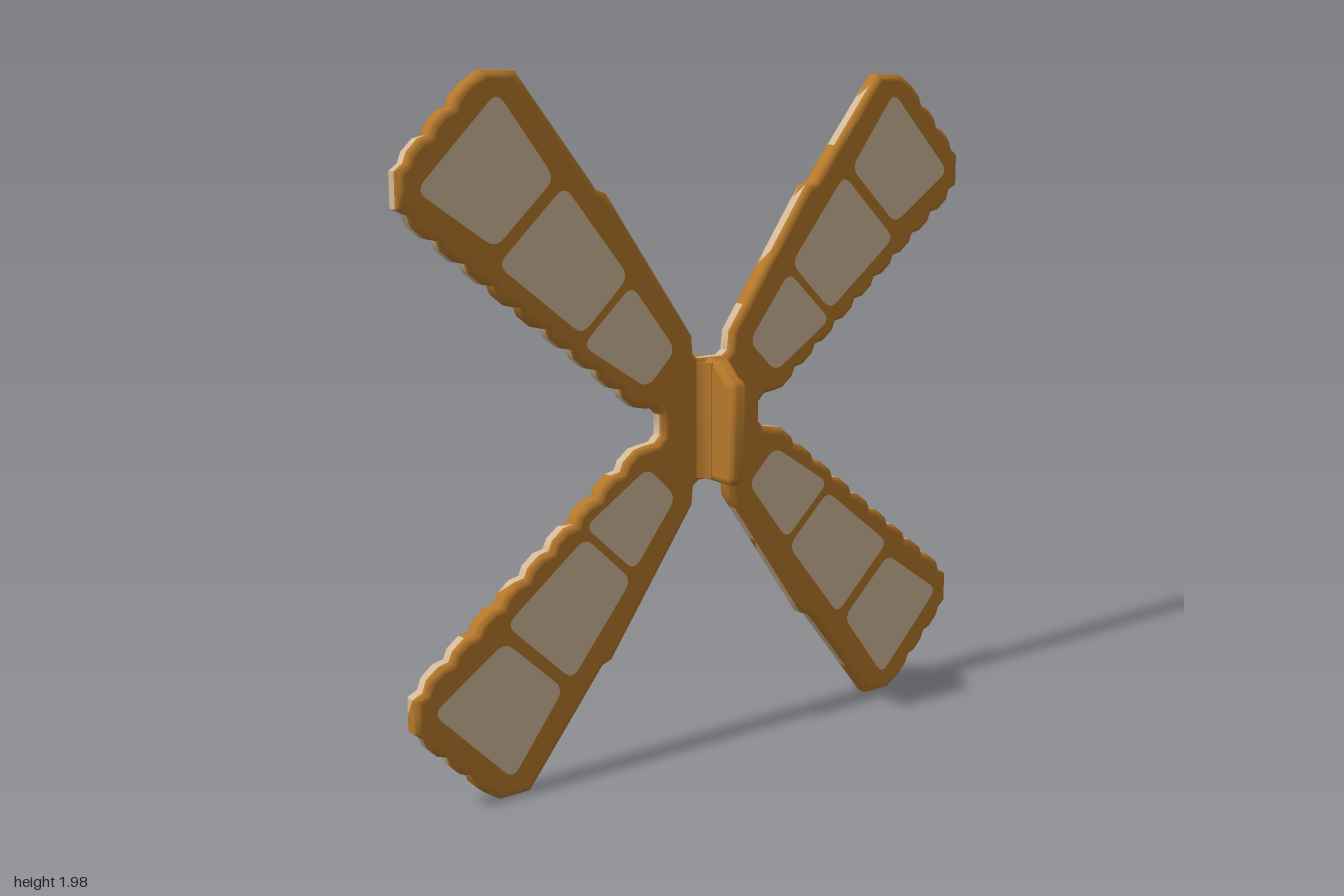
import * as THREE from 'three';
import { toCreasedNormals } from 'three/addons/utils/BufferGeometryUtils.js';

const wood = new THREE.MeshStandardMaterial({ color: 0xb5782b });
wood.name = 'wood';
const canvas = new THREE.MeshStandardMaterial({ color: 0xd3ba99 });
canvas.name = 'canvas';

const vec = (list) => list.map(([x, y]) => new THREE.Vector2(x, y));

// Stepped, scalloped edge from a to b, bulging outward
function scallop(a, b, n, h) {
  const dx = b[0] - a[0], dy = b[1] - a[1], len = Math.hypot(dx, dy), out = [];
  for (let i = 0; i < n; i++) {
    for (const [f, k] of [[0, 0], [0.28, 1], [0.75, 1]]) {
      const t = (i + f) / n;
      out.push([a[0] + dx * t + (dy / len) * h * k, a[1] + dy * t - (dx / len) * h * k]);
    }
  }
  return out;
}

// Straight edges cut into short pieces so the rim can change colour along them
function subdivide(points, step) {
  const out = [];
  points.forEach((p, i) => {
    const q = points[(i + 1) % points.length];
    const n = Math.max(1, Math.round(p.distanceTo(q) / step));
    for (let k = 0; k < n; k++) out.push(p.clone().lerp(q, k / n));
  });
  return out;
}

// Slab centred on z = 0 with rounded edges and flat faces
function roundedSlab(points, thickness, bevel, round) {
  const depth = thickness - 2 * bevel;
  const raw = new THREE.ExtrudeGeometry(new THREE.Shape(points), {
    depth, bevelThickness: bevel, bevelSize: round, bevelOffset: -round, bevelSegments: 3,
  });
  raw.translate(0, 0, -depth / 2);
  const caps = raw.groups[0].count;
  const geo = toCreasedNormals(raw, 0.8);
  const pos = geo.attributes.position;
  for (let i = 0; i < caps; i++) geo.attributes.normal.setXYZ(i, 0, 0, Math.sign(pos.getZ(i)));
  geo.clearGroups();
  return { geo, caps };
}

// Shape with softened corners
function softShape(corners, r) {
  const p = vec(corners), s = new THREE.Shape();
  p.forEach((c, i) => {
    const a = p[(i + p.length - 1) % p.length], b = p[(i + 1) % p.length];
    const start = c.clone().add(a.clone().sub(c).setLength(r));
    const end = c.clone().add(b.clone().sub(c).setLength(r));
    if (i) s.lineTo(start.x, start.y); else s.moveTo(start.x, start.y);
    s.quadraticCurveTo(c.x, c.y, end.x, end.y);
  });
  s.closePath();
  return s;
}

export function createModel() {
  const model = new THREE.Group();
  model.name = 'windmillSails';

  // Outline of one sail, mirrored into four
  const quarter = [
    [0.18, 0.03], [0.2, 0.05],
    ...scallop([0.24, 0.055], [0.96, 0.625], 9, 0.014),
    [0.96, 0.63], [0.99, 0.645], [0.99, 0.74],
    ...scallop([0.965, 0.76], [0.76, 0.965], 3, 0.012),
    [0.735, 0.99], [0.64, 0.99], [0.39, 0.675], [0.36, 0.665],
    [0.07, 0.25], [0.065, 0.195], [0.045, 0.18],
  ];
  const flip = (sx, sy) => quarter.map(([x, y]) => [x * sx, y * sy]);
  const outline = [...flip(1, 1), ...flip(-1, 1).reverse(), ...flip(-1, -1), ...flip(1, -1).reverse()];
  const { geo, caps } = roundedSlab(subdivide(vec(outline), 0.045), 0.06, 0.017, 0.02);

  // Worn canvas patches along the rim
  const pos = geo.attributes.position;
  let start = 0, current = 0;
  for (let i = caps; i < pos.count; i += 3) {
    const mid = (axis) => (pos[axis](i) + pos[axis](i + 1) + pos[axis](i + 2)) / 3;
    const x = mid('getX'), y = mid('getY'), z = mid('getZ');
    const corner = Math.abs(x) > 0.6 && Math.abs(x) < 0.83 && Math.abs(y) > 0.8;
    const patch = Math.sin(15 * x + 6 * y) + 0.5 * Math.sin(31 * y - 8 * x) > -0.2;
    const mat = z > -0.024 && z < 0.014 && patch && !corner ? 1 : 0;
    if (mat !== current) {
      geo.addGroup(start, i - start, current);
      start = i;
      current = mat;
    }
  }
  geo.addGroup(start, pos.count - start, current);
  const frame = new THREE.Mesh(geo, [wood, canvas]);
  frame.name = 'sailFrame';
  frame.position.y = 1;
  model.add(frame);

  // Three canvas panels per sail, on both faces
  const panels = [
    [[0.94, 0.69], [0.70, 0.935], [0.53, 0.71], [0.715, 0.535]],
    [[0.71, 0.49], [0.50, 0.69], [0.295, 0.435], [0.45, 0.285]],
    [[0.45, 0.255], [0.285, 0.41], [0.135, 0.215], [0.235, 0.115]],
  ];
  for (const sx of [1, -1]) for (const sy of [1, -1]) for (const side of [1, -1]) {
    const sail = new THREE.Group();
    sail.name = 'sailPanels';
    for (const corners of panels) {
      const g = new THREE.ShapeGeometry(softShape(corners.map(([x, y]) => [x * sx, y * sy]), 0.035), 4);
      const panel = new THREE.Mesh(g, canvas);
      panel.name = 'canvasPanel';
      panel.position.z = side * 0.0312;
      if (side < 0) panel.rotation.y = Math.PI;
      sail.add(panel);
    }
    sail.position.y = 1;
    model.add(sail);
  }

  // Upright hub plate crossing the sails; its profile runs along z and y
  const hubProfile = vec([
    [0.16, -0.16], [0.16, 0.11], [0.15, 0.125], [0.125, 0.135], [0.08, 0.178], [-0.05, 0.178],
    [-0.158, 0.025], [-0.158, -0.055], [-0.085, -0.18], [0.14, -0.18],
  ]);
  const hub = new THREE.Mesh(roundedSlab(hubProfile, 0.06, 0.02, 0.02).geo.rotateY(-Math.PI / 2), wood);
  hub.name = 'hubPlate';
  hub.position.y = 1;
  model.add(hub);

  // Fillets where the hub meets the sails
  const fillet = [[0.065, 0.028], [0.042, 0.038], [0.032, 0.065]];
  const f = (sx, sy) => fillet.map(([x, y]) => [x * sx, y * sy]);
  const cross = vec([...f(1, 1), ...f(-1, 1).reverse(), ...f(-1, -1), ...f(1, -1).reverse()]);
  const collarGeo = new THREE.ExtrudeGeometry(new THREE.Shape(cross), { depth: 0.34, bevelEnabled: false });
  collarGeo.translate(0, 0, -0.17).rotateX(-Math.PI / 2);
  const collar = new THREE.Mesh(toCreasedNormals(collarGeo, 0.9), wood);
  collar.name = 'hubFillet';
  collar.position.y = 1;
  model.add(collar);

  return model;
}
